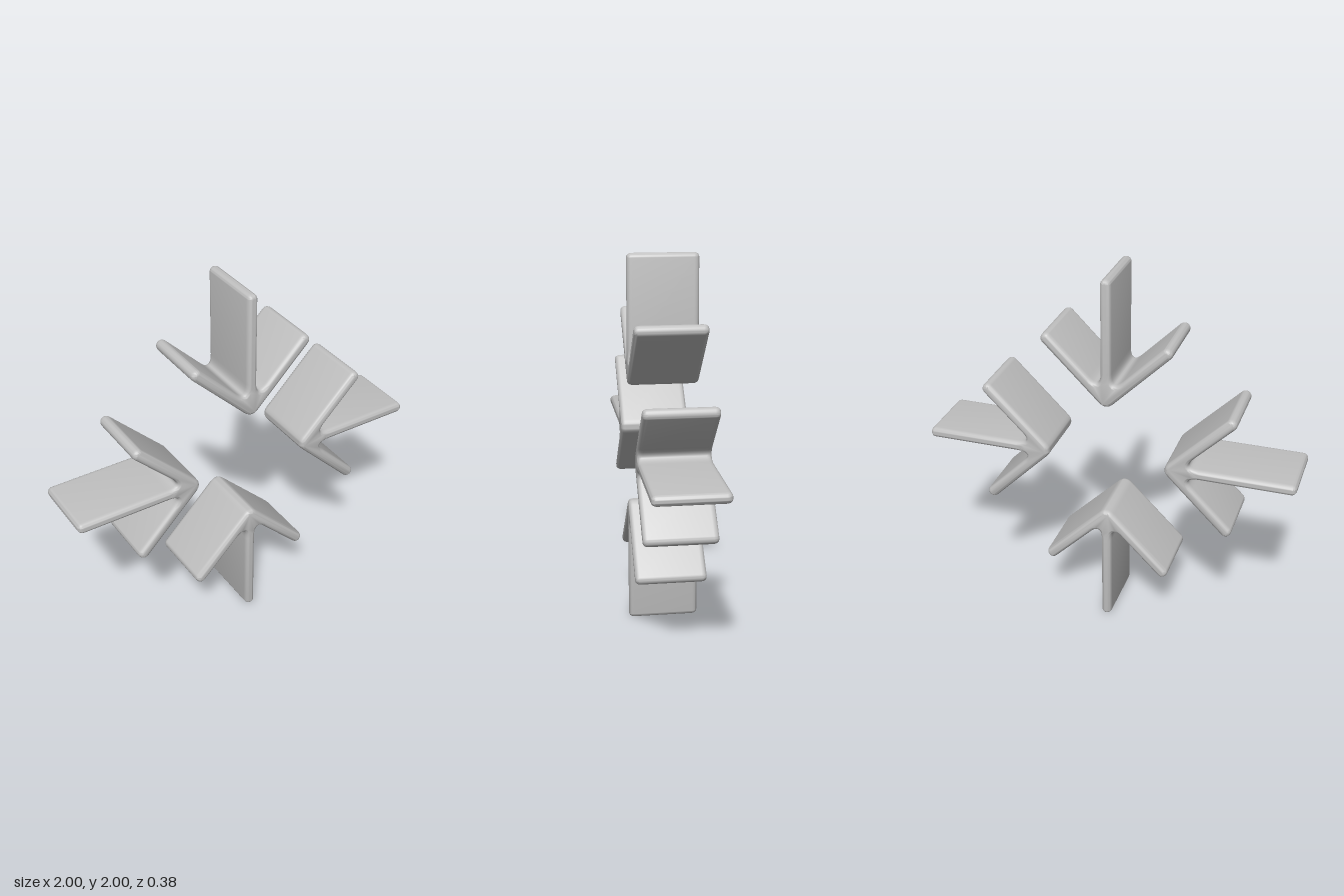
import * as THREE from 'three';
import { toCreasedNormals } from 'three/addons/utils/BufferGeometryUtils.js';

const DEPTH = 0.376, BEVEL = 0.02, BEVEL_Z = 0.028;

// Outline of one arrow whose tip points down towards the origin
function arrowOutline() {
  const s = new THREE.Shape();
  const armR = 0.03, shaftR = 0.028;
  // rounded tip and right arm
  s.moveTo(-0.04, 0.334);
  s.quadraticCurveTo(0, 0.294, 0.04, 0.334);
  s.absarc(0.314, 0.65, armR, -Math.PI / 4, Math.PI * 0.75, false);
  // fillet into the shaft, shaft end, fillet out
  s.lineTo(0.09, 0.468);
  s.quadraticCurveTo(shaftR, 0.406, shaftR, 0.5);
  s.absarc(0, 1 - shaftR, shaftR, 0, Math.PI, false);
  s.lineTo(-shaftR, 0.5);
  s.quadraticCurveTo(-shaftR, 0.406, -0.09, 0.468);
  // left arm
  s.absarc(-0.314, 0.65, armR, Math.PI / 4, Math.PI * 1.25, false);
  s.closePath();
  return s;
}

export function createModel() {
  const model = new THREE.Group();
  model.name = 'inwardArrows';

  const grey = new THREE.MeshStandardMaterial({ color: 0xc0c0c0 });
  grey.name = 'light grey';

  // Deep arrow with softly rounded front and back rims
  const extruded = new THREE.ExtrudeGeometry(arrowOutline(), {
    depth: DEPTH - 2 * BEVEL_Z,
    curveSegments: 8,
    bevelEnabled: true,
    bevelSize: BEVEL,
    bevelOffset: -BEVEL,
    bevelThickness: BEVEL_Z,
    bevelSegments: 5,
  });
  extruded.translate(0, 0, BEVEL_Z - DEPTH / 2);
  const geometry = toCreasedNormals(extruded, 0.8);

  // Four arrows around the centre, all pointing inwards
  ['topArrow', 'rightArrow', 'bottomArrow', 'leftArrow'].forEach((name, i) => {
    const arrow = new THREE.Mesh(geometry, grey);
    arrow.name = name;
    arrow.position.y = 1;
    arrow.rotation.z = (i * Math.PI) / 2;
    if (name === 'rightArrow') arrow.name = 'rightArrow'; // model's right is -x
    model.add(arrow);
  });

  return model;
}
